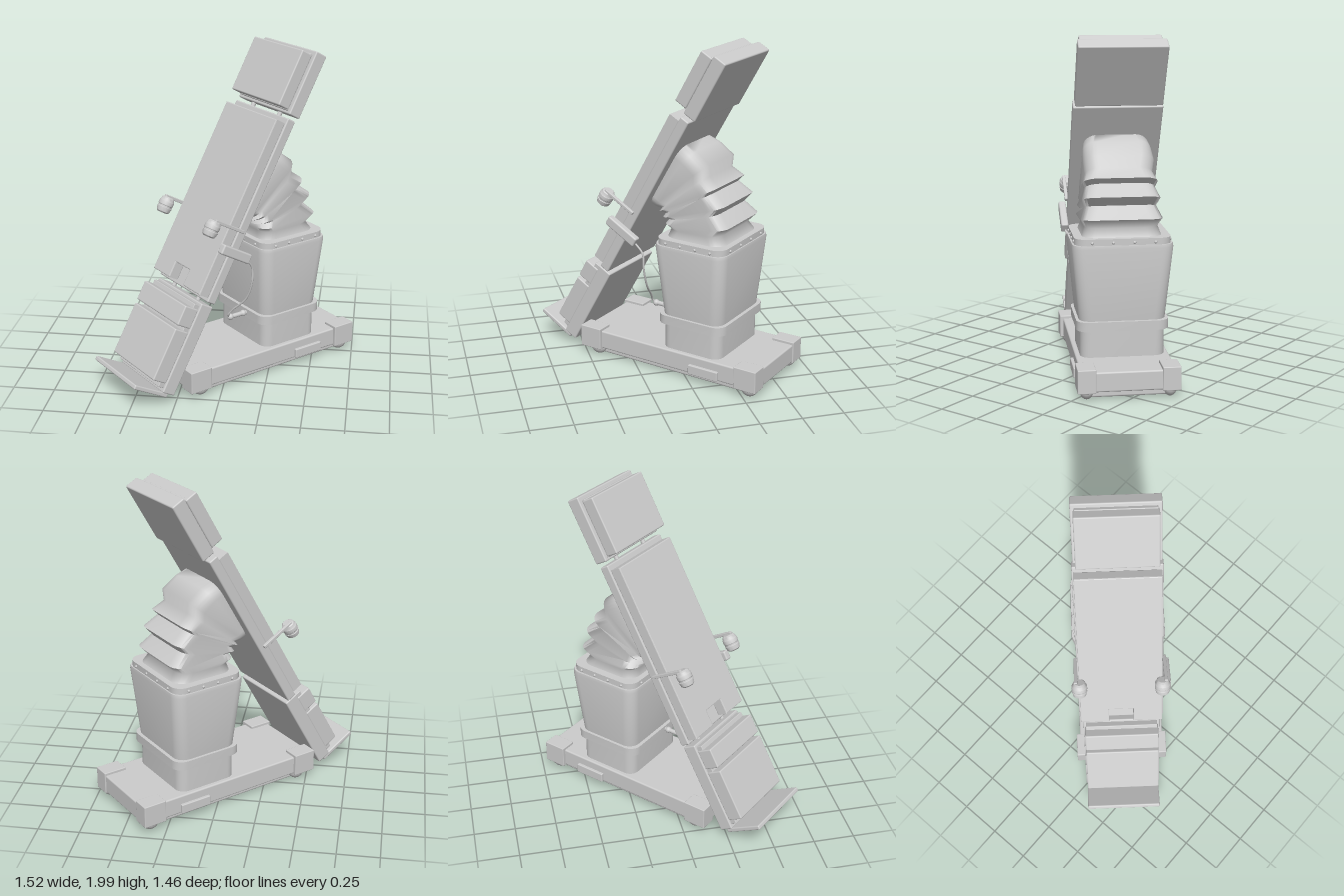
import * as THREE from 'three';
import { RoundedBoxGeometry } from 'three/addons/geometries/RoundedBoxGeometry.js';
import { toCreasedNormals } from 'three/addons/utils/BufferGeometryUtils.js';

const grey = new THREE.MeshStandardMaterial({ color: 0xcccccc });

function add(parent, name, geometry, x = 0, y = 0, z = 0) {
  const mesh = new THREE.Mesh(geometry, grey);
  mesh.name = name;
  mesh.position.set(x, y, z);
  parent.add(mesh);
  return mesh;
}

// Box given by its limits along x and y, and its half width in z
function slab(parent, name, x0, x1, y0, y1, half, r = 0.008, z = 0) {
  const geo = new RoundedBoxGeometry(x1 - x0, y1 - y0, half * 2, 2, r);
  return add(parent, name, geo, (x0 + x1) / 2, (y0 + y1) / 2, z);
}

// Skin over rounded-rectangle sections; each row is [innerX, innerY, outerX, outerY, halfWidth]
function loft(rows, radius, crease = 0.5) {
  const seg = 6, n = 4 * (seg + 1), pos = [], index = [];
  for (const [ix, iy, ox, oy, b] of rows) {
    const a = Math.hypot(ox - ix, oy - iy) / 2;
    const dx = (ox - ix) / (2 * a), dy = (oy - iy) / (2 * a);
    const cx = (ix + ox) / 2, cy = (iy + oy) / 2;
    for (let c = 0; c < 4; c++) {
      for (let k = 0; k <= seg; k++) {
        const t = (c + k / seg) * Math.PI / 2;
        const p = (c === 0 || c === 3 ? 1 : -1) * (a - radius) + radius * Math.cos(t);
        const q = (c < 2 ? 1 : -1) * (b - radius) + radius * Math.sin(t);
        pos.push(cx + dx * p, cy + dy * p, q);
      }
    }
  }
  for (let i = 0; i < rows.length - 1; i++) {
    for (let j = 0; j < n; j++) {
      const k = (j + 1) % n, A = i * n, B = A + n;
      index.push(A + j, B + j, A + k, A + k, B + j, B + k);
    }
  }
  const top = (rows.length - 1) * n;
  for (let j = 1; j < n - 1; j++) {
    index.push(0, j, j + 1, top, top + j + 1, top + j);
  }
  const geo = new THREE.BufferGeometry();
  geo.setAttribute('position', new THREE.Float32BufferAttribute(pos, 3));
  geo.setIndex(index);
  return toCreasedNormals(geo, crease);
}

const CX = 0.287; // column centre
const level = (y, a, b) => [CX - a, y, CX + a, y, b];

function buildBase(parent) {
  const base = new THREE.Group();
  base.name = 'base';
  parent.add(base);
  slab(base, 'chassis', -0.47, 0.75, 0.06, 0.175, 0.27, 0.01);
  slab(base, 'underPan', -0.43, 0.71, 0.018, 0.065, 0.235, 0.012);
  for (const side of [-1, 1]) {
    slab(base, 'sidePedal', 0.30, 0.50, 0.062, 0.122, 0.016, 0.006, side * 0.272);
    for (const [x0, x1, wheelX] of [[-0.48, -0.335, -0.38], [0.612, 0.757, 0.69]]) {
      slab(base, 'cornerBlock', x0, x1, 0.055, 0.192, 0.052, 0.005, side * 0.238);
      const wheel = new THREE.SphereGeometry(0.055, 24, 16).scale(1, 1, 0.75);
      add(base, 'caster', wheel, wheelX, 0.062, side * 0.235);
    }
  }
}

function buildColumn(parent) {
  const column = new THREE.Group();
  column.name = 'column';
  parent.add(column);
  add(column, 'lowerColumn', loft([level(0.16, 0.197, 0.243), level(0.36, 0.197, 0.243)], 0.06));
  add(column, 'collar', loft([level(0.335, 0.226, 0.266), level(0.39, 0.226, 0.266)], 0.07));
  add(column, 'columnCover', loft([level(0.38, 0.203, 0.248), level(0.815, 0.24, 0.29),
    level(0.835, 0.237, 0.287)], 0.07));
  add(column, 'rim', loft([level(0.83, 0.23, 0.276), level(0.872, 0.23, 0.276)], 0.07));
  // Rivets around the rim
  const rivet = new THREE.SphereGeometry(0.009, 8, 6);
  for (const side of [-1, 1]) {
    for (let i = 0; i < 4; i++) {
      add(column, 'rivet', rivet, CX + (i - 1.5) * 0.1, 0.85, side * 0.276);
      add(column, 'rivet', rivet, CX + side * 0.23, 0.85, (i - 1.5) * 0.12);
    }
  }
  // Soft pleated sleeve bending over towards the table
  add(column, 'bellows', loft([
    [0.09, 0.865, 0.485, 0.865, 0.23],
    [0.105, 0.915, 0.445, 0.92, 0.212],
    [0.08, 0.945, 0.495, 0.975, 0.235],
    [0.09, 0.965, 0.42, 1.045, 0.208],
    [0.055, 0.975, 0.465, 1.10, 0.226],
    [0.06, 0.99, 0.38, 1.165, 0.203],
    [0.025, 1.0, 0.41, 1.20, 0.217],
    [0.03, 1.01, 0.34, 1.25, 0.196],
    [-0.01, 1.02, 0.342, 1.32, 0.206],
    [-0.03, 1.025, 0.25, 1.388, 0.20],
    [-0.06, 1.04, 0.17, 1.425, 0.19],
  ], 0.08, 1.5));
}

// Tilted top: x runs towards the head end, y out of the lying surface
function buildTable(parent) {
  const table = new THREE.Group();
  table.name = 'tableTop';
  table.position.set(-0.395, 0.66, 0);
  table.rotation.z = THREE.MathUtils.degToRad(60.5);
  parent.add(table);

  // Back section, its cushion notched at the lower end
  const e = 0.006, w = 0.25 - e, notch = 0.075 + e, x0 = e, x1 = 1.106 - e;
  const outline = new THREE.Shape([
    [x0, -w], [x1, -w], [x1, w], [x0, w], [x0, notch], [0.1 + e, notch], [0.1 + e, -notch], [x0, -notch],
  ].map(([x, y]) => new THREE.Vector2(x, y)));
  const cushion = new THREE.ExtrudeGeometry(outline, {
    depth: 0.072 - 2 * e, bevelSize: e, bevelThickness: e, bevelSegments: 2,
  }).rotateX(-Math.PI / 2);
  add(table, 'backCushion', cushion, 0, -0.072 + e, 0);
  slab(table, 'backPlate', -0.024, 1.14, -0.132, -0.071, 0.26);

  // Head section
  slab(table, 'headCushion', 1.185, 1.53, -0.065, 0.016, 0.235);
  slab(table, 'headCore', 1.18, 1.535, -0.085, -0.05, 0.228, 0.004);
  slab(table, 'headPlate', 1.163, 1.56, -0.157, -0.072, 0.252);

  // Leg section with two cushions and a foot board
  slab(table, 'kneeCushion', -0.21, -0.087, -0.06, 0.04, 0.228);
  slab(table, 'legCushion', -0.56, -0.233, -0.06, 0.04, 0.228);
  slab(table, 'legCore', -0.59, -0.06, -0.07, -0.02, 0.222, 0.004);
  slab(table, 'legPlate', -0.615, -0.045, -0.147, -0.058, 0.237);
  slab(table, 'footBoard', -0.64, -0.612, -0.107, 0.145, 0.23);

  for (const side of [-1, 1]) {
    // Joining pins between the sections
    for (const x of [-0.035, 1.15]) {
      const pin = new THREE.CylinderGeometry(0.014, 0.014, 0.09, 12).rotateZ(Math.PI / 2);
      add(table, 'joiningPin', pin, x, -0.105, side * 0.13);
    }
    // Side arm with a barrel knob
    slab(table, 'knobArm', 0.424, 0.444, -0.10, 0.125, 0.01, 0.004, side * 0.266);
    const profile = [[0, -0.05], [0.03, -0.05], [0.04, -0.042], [0.046, -0.015], [0.043, -0.012],
      [0.043, -0.004], [0.046, 0], [0.046, 0.022], [0.043, 0.025], [0.038, 0.042], [0.028, 0.05], [0, 0.05]];
    const knob = new THREE.LatheGeometry(profile.map(([x, y]) => new THREE.Vector2(x, y)), 24);
    knob.rotateZ(-Math.PI / 2);
    add(table, 'knob', toCreasedNormals(knob, 0.6), 0.385, 0.112, side * 0.245);
  }

  // Hand control hung on the side
  slab(table, 'handControl', 0.27, 0.33, -0.21, 0.015, 0.022, 0.01, 0.28);
}

function buildCable(parent) {
  const path = new THREE.CatmullRomCurve3([
    [-0.075, 0.81, 0.275], [-0.03, 0.75, 0.265], [-0.025, 0.65, 0.26], [-0.034, 0.53, 0.214],
    [-0.066, 0.43, 0.12], [-0.075, 0.38, 0.085], [-0.05, 0.365, 0.08],
  ].map((p) => new THREE.Vector3(...p)));
  add(parent, 'cable', new THREE.TubeGeometry(path, 48, 0.006, 8));
  const plug = new THREE.CylinderGeometry(0.014, 0.014, 0.13, 16).rotateZ(Math.PI / 2);
  add(parent, 'plug', plug, 0.01, 0.365, 0.08);
  for (const x of [-0.055, 0.04]) {
    add(parent, 'plugCap', new THREE.SphereGeometry(0.02, 16, 12), x, 0.365, 0.08);
  }
}

export function createModel() {
  const model = new THREE.Group();
  model.name = 'operatingTable';
  const body = new THREE.Group();
  body.name = 'body';
  body.rotation.y = 0.745; // stands diagonally
  model.add(body);
  buildBase(body);
  buildColumn(body);
  buildTable(body);
  buildCable(body);
  return model;
}
